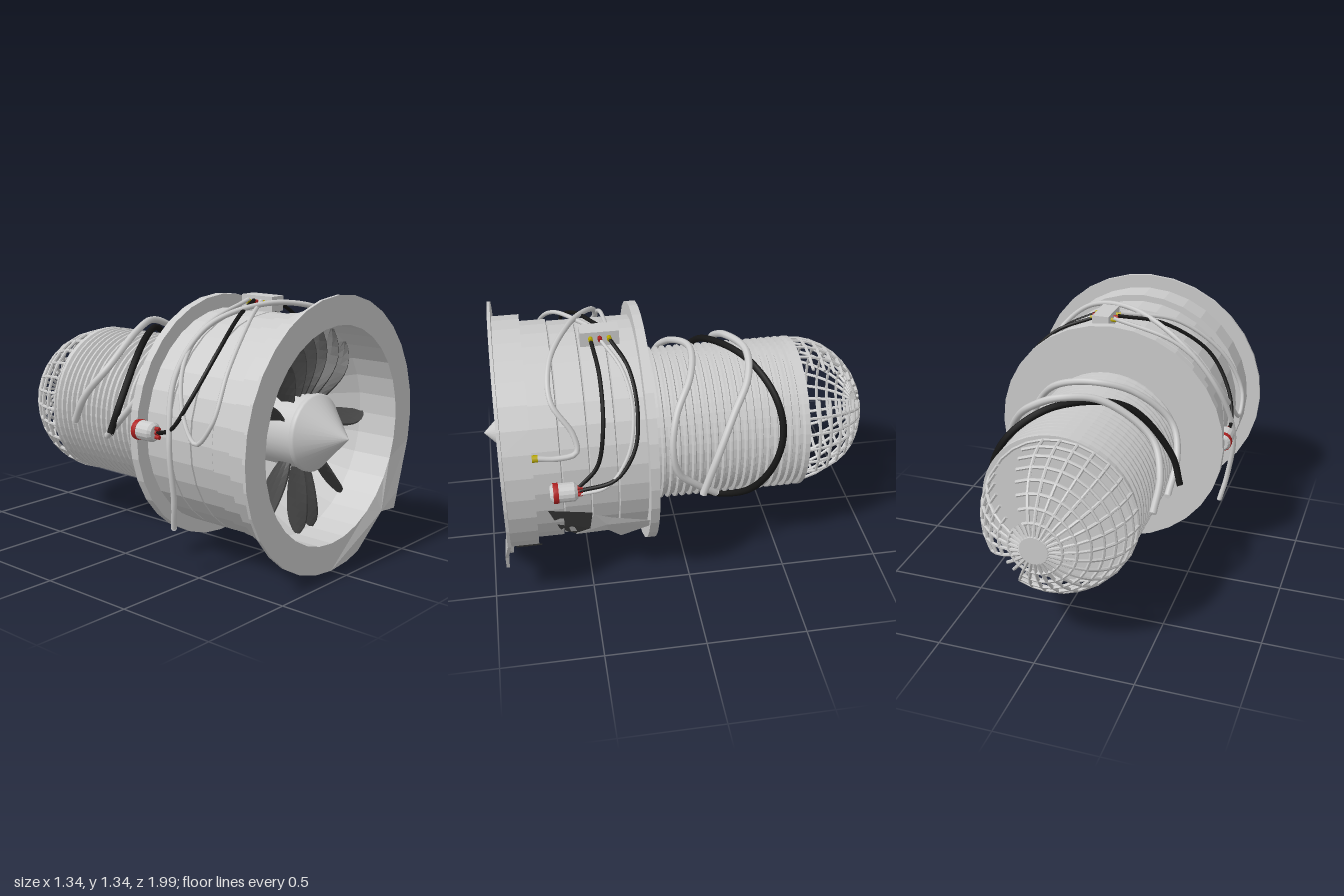
import * as THREE from 'three';
import { mergeGeometries } from 'three/addons/utils/BufferGeometryUtils.js';

const material = (color, flat = false) =>
  new THREE.MeshStandardMaterial({ color, flatShading: flat, side: THREE.DoubleSide });
const GREY = material(0xcccccc, true), SMOOTH = material(0xcccccc);
const BLACK = material(0x151515), DARK = material(0x444444, true);
const RED = material(0xb02020), YELLOW = material(0xb8a800);

function add(parent, name, geometry, mat, x = 0, y = 0, z = 0) {
  const mesh = new THREE.Mesh(geometry, mat);
  mesh.name = name;
  mesh.position.set(x, y, z);
  parent.add(mesh);
  return mesh;
}

// Point around the engine axis: angle in degrees from +x towards +y
function polar([deg, r, z]) {
  const a = THREE.MathUtils.degToRad(deg);
  return new THREE.Vector3(r * Math.cos(a), r * Math.sin(a), z);
}

// Turned part around the z axis from [radius, z] pairs
const turned = (profile, sides) =>
  new THREE.LatheGeometry(profile.map(([r, z]) => new THREE.Vector2(r, z)), sides).rotateX(Math.PI / 2);

function hose(parent, name, points, radius, mat) {
  const curve = new THREE.CatmullRomCurve3(points.map(polar));
  add(parent, name, new THREE.TubeGeometry(curve, points.length * 8, radius, 8), mat);
  for (const end of [0, 1]) {
    const p = curve.getPoint(end);
    const cap = add(parent, name + 'End', new THREE.CircleGeometry(radius, 8), mat, p.x, p.y, p.z);
    cap.lookAt(p.clone().add(curve.getTangent(end)));
  }
}

// Front ring with a crumpled corner at the lower left
function frontFlange() {
  const dent = { 25: [], 29: [[0.545, -0.385]], 28: [[0.52, -0.47], [0.4, -0.46]],
    27: [[0.32, -0.545]], 26: [[0.225, -0.63]] };
  delete dent[25];
  const outline = [];
  for (let i = 0; i < 32; i++) {
    const a = (i / 32) * Math.PI * 2;
    const points = dent[i] ? dent[i].slice().reverse() : [[0.67 * Math.cos(a), 0.67 * Math.sin(a)]];
    outline.push(...points.map(([x, y]) => new THREE.Vector2(x, y)));
  }
  const shape = new THREE.Shape(outline);
  shape.holes.push(new THREE.Path().absarc(0, 0, 0.53, 0, Math.PI * 2, true));
  const geometry = new THREE.ExtrudeGeometry(shape, { depth: 0.016, bevelEnabled: false, curveSegments: 16 });
  const p = geometry.attributes.position;
  for (let i = 0; i < p.count; i++) {
    const x = p.getX(i), y = p.getY(i);
    if (Math.hypot(x, y) > 0.55 && x > 0.35 && y < -0.35) p.setZ(i, p.getZ(i) + 0.02);
  }
  return geometry;
}

// Curved, twisted blade: thin in x, radial along y, chord along z
function bladeGeometry() {
  const geometry = new THREE.BoxGeometry(1, 1, 1, 1, 8, 4);
  const p = geometry.attributes.position;
  for (let i = 0; i < p.count; i++) {
    const t = p.getY(i) + 0.5, s = p.getZ(i);
    const chord = 0.07 + 0.1 * Math.sin(Math.PI * Math.min(1, t * 0.9)) - 0.06 * t ** 6;
    const twist = 0.08 + 0.24 * Math.sin(Math.PI * t);
    const x = p.getX(i) * 0.012 * (1 - 0.6 * t) + 0.02 * (0.25 - s * s);
    const z = s * chord;
    p.setXYZ(i, x * Math.cos(twist) + z * Math.sin(twist), 0.18 + t * 0.345,
      z * Math.cos(twist) - x * Math.sin(twist));
  }
  return geometry;
}

// Domed grille, with the bars of two broken patches left out
function cageGeometry() {
  const bars = [], columns = 28, rows = 8, up = new THREE.Vector3(0, 1, 0);
  const broken = (deg, lat) => (deg > 33 && deg < 70 && lat < 72 && lat > 3) ||
    (deg > 297 && deg < 331 && lat < 62);
  const at = (deg, lat) => {
    const b = THREE.MathUtils.degToRad(lat);
    return polar([deg, 0.385 * Math.cos(b), -0.365 * Math.sin(b)]);
  };
  function bar(d1, l1, d2, l2) {
    if (broken((d1 + d2) / 2, (l1 + l2) / 2)) return;
    const a = at(d1, l1), b = at(d2, l2), way = b.clone().sub(a);
    const g = new THREE.CylinderGeometry(0.0085, 0.0085, way.length() + 0.006, 6);
    g.applyQuaternion(new THREE.Quaternion().setFromUnitVectors(up, way.normalize()));
    bars.push(g.translate(...a.add(b).multiplyScalar(0.5).toArray()));
  }
  const dDeg = 360 / columns, dLat = 80 / rows;
  for (let i = 0; i < columns; i++) {
    for (let j = 0; j <= rows; j++) {
      bar(i * dDeg, j * dLat, (i + 1) * dDeg, j * dLat);
      if (j < rows) bar(i * dDeg, j * dLat, i * dDeg, (j + 1) * dLat);
    }
  }
  return mergeGeometries(bars);
}

// Bent sheet fan from [angle, radius, z] corners; the first corner is the hub
function shard(corners) {
  const pts = corners.map(polar), out = [];
  for (let i = 1; i < pts.length - 1; i++) out.push(pts[0], pts[i], pts[i + 1]);
  const geometry = new THREE.BufferGeometry().setFromPoints(out);
  geometry.computeVertexNormals();
  return geometry;
}

// Small canister with red bands and three plugs on its -z end
function canister(parent, name, deg, z, turn) {
  const group = new THREE.Group();
  group.name = name;
  group.position.copy(polar([deg, 0.605, z]));
  group.rotation.y = turn;
  parent.add(group);
  add(group, 'canisterBody', turned([[0, -0.06], [0.035, -0.06], [0.047, -0.045], [0.047, 0.055],
    [0.035, 0.07], [0.025, 0.07], [0.025, 0.05], [0, 0.05]], 16), GREY);
  add(group, 'canisterBand', turned([[0.047, 0.03], [0.05, 0.03], [0.05, 0.055], [0.047, 0.055]], 16), RED);
  for (const y of [-0.02, 0, 0.02])
    add(group, 'canisterPlug', new THREE.CylinderGeometry(0.01, 0.01, 0.03, 8).rotateX(Math.PI / 2), RED, 0, y, -0.07);
}

export function createModel() {
  const model = new THREE.Group();
  const front = new THREE.Group(), rear = new THREE.Group();
  front.name = 'fanSection';
  rear.name = 'rearSection';
  front.position.y = 0.675;
  rear.position.y = 0.645;
  model.add(front, rear);

  // Casing, intake and spinner
  const casing = [[0, 0.165], [0.62, 0.165], [0.62, 0.21], [0.55, 0.21]];
  for (const z of [0.355, 0.49]) casing.push([0.55, z - 0.005], [0.535, z], [0.55, z + 0.005]);
  casing.push([0.55, 0.62], [0.535, 0.625], [0.56, 0.63], [0.56, 0.76], [0.595, 0.76], [0.595, 0.9]);
  add(front, 'casing', turned(casing, 32), GREY);
  add(front, 'frontFlange', frontFlange(), GREY, 0, 0, 0.896);
  add(front, 'intake', turned([[0.53, 0.9], [0.53, 0.7], [0.37, 0.4], [0.17, 0.25]], 32), GREY);
  add(front, 'spinner', turned([[0.18, 0.24], [0.18, 0.78], [0.19, 0.78], [0.19, 0.8], [0.182, 0.805], [0, 0.99]], 32), SMOOTH);

  // Remaining fan blades
  const blade = bladeGeometry();
  for (const deg of [155, 121, 104, 91, 78, 63, 48, 1, -48, -78, -90, -127])
    add(front, 'fanBlade', blade, DARK, 0, 0, 0.7).rotation.z = THREE.MathUtils.degToRad(deg - 90);

  // Access plate and torn casing sheets
  const plate = new THREE.CylinderGeometry(0.6, 0.6, 0.13, 4, 1, true, 0.56, 0.3).rotateX(Math.PI / 2);
  add(front, 'accessPlate', plate, DARK, 0, 0, 0.81);
  add(front, 'tornSheetFront', shard([[-28, 0.556, 0.6], [-10, 0.575, 0.705], [-16, 0.565, 0.49],
    [-35, 0.562, 0.5], [-53, 0.56, 0.57], [-31, 0.562, 0.65], [-10, 0.575, 0.705]]), DARK);
  add(front, 'tornSheetRear', shard([[-27, 0.58, 0.42], [-18, 0.565, 0.48], [-21, 0.575, 0.39],
    [-23, 0.6, 0.2], [-27, 0.6, 0.18], [-42, 0.6, 0.345], [-35, 0.58, 0.41], [-53, 0.565, 0.57], [-18, 0.565, 0.48]]), GREY);

  // Junction box with plugs on both sides
  add(front, 'junctionBox', new THREE.BoxGeometry(0.09, 0.075, 0.19), GREY, 0.1, 0.583, 0.385);
  for (const x of [0.045, 0.155])
    [0.34, 0.385, 0.43].forEach((z, i) => add(front, 'boxPlug',
      new THREE.CylinderGeometry(0.011, 0.011, 0.035, 8).rotateZ(Math.PI / 2), i === 1 ? RED : YELLOW, x, 0.59, z));

  // Canisters and the cables that feed them
  canister(front, 'leftCanister', 3, 0.62, 0);
  canister(front, 'rightCanister', 177, 0.26, Math.PI);
  hose(front, 'leftCableOuter', [[75, 0.61, 0.34], [57, 0.62, 0.27], [38, 0.61, 0.25], [20, 0.61, 0.28],
    [7, 0.61, 0.38], [3, 0.605, 0.55]], 0.01, BLACK);
  hose(front, 'leftCableMiddle', [[75, 0.61, 0.385], [57, 0.61, 0.3], [38, 0.6, 0.27], [18, 0.6, 0.31],
    [4, 0.61, 0.42], [1, 0.605, 0.55]], 0.009, SMOOTH);
  hose(front, 'leftCableInner', [[75, 0.61, 0.43], [55, 0.6, 0.41], [30, 0.6, 0.42], [14, 0.6, 0.46],
    [5, 0.605, 0.55]], 0.01, BLACK);
  hose(front, 'rightCable', [[87, 0.6, 0.385], [110, 0.585, 0.48], [138, 0.59, 0.54], [160, 0.6, 0.5],
    [174, 0.61, 0.42], [177, 0.605, 0.33]], 0.01, BLACK);

  // Loose hoses over the casing
  hose(front, 'casingLoopHose', [[86, 0.6, 0.34], [120, 0.58, 0.35], [145, 0.585, 0.38], [168, 0.6, 0.48],
    [178, 0.615, 0.58], [168, 0.62, 0.67], [145, 0.6, 0.66], [115, 0.59, 0.58], [87, 0.6, 0.43]], 0.011, SMOOTH);
  hose(front, 'casingLongHose', [[217, 0.71, 0.4], [205, 0.66, 0.43], [180, 0.62, 0.42], [150, 0.59, 0.36],
    [120, 0.59, 0.38], [90, 0.6, 0.52], [64, 0.61, 0.64], [45, 0.6, 0.65], [30, 0.58, 0.56],
    [21, 0.575, 0.55], [19, 0.575, 0.64], [20, 0.575, 0.74]], 0.014, SMOOTH);
  const plug = polar([20, 0.575, 0.75]);
  add(front, 'hosePlug', new THREE.CylinderGeometry(0.018, 0.018, 0.035, 8).rotateX(Math.PI / 2), YELLOW, ...plug.toArray());

  // Ribbed barrel with a closed end
  const barrel = [[0, -0.635], [0.397, -0.635], [0.397, -0.61]];
  for (let i = 0; i < 20; i++) {
    const z = -0.6 + i * 0.038;
    barrel.push([0.382, z], [0.382, z + 0.014], [0.398, z + 0.02], [0.398, z + 0.03]);
  }
  barrel.push([0.385, 0.17]);
  add(rear, 'ribbedBarrel', turned(barrel, 48), GREY);

  // Domed rear grille
  const cage = new THREE.Group();
  cage.name = 'rearCage';
  cage.position.set(-0.015, -0.008, -0.632);
  rear.add(cage);
  add(cage, 'cageBars', cageGeometry(), GREY);
  add(cage, 'cageCap', new THREE.CylinderGeometry(0.07, 0.07, 0.012, 28).rotateX(Math.PI / 2), GREY, 0, 0, -0.362);

  // Hoses draped over the barrel
  hose(rear, 'barrelRearHose', [[185, 0.42, -0.45], [165, 0.44, -0.36], [143, 0.44, -0.26], [103, 0.45, -0.28],
    [78, 0.465, -0.35], [57, 0.455, -0.33], [35, 0.45, -0.24], [10, 0.46, -0.15], [-15, 0.5, -0.07]], 0.019, SMOOTH);
  hose(rear, 'barrelFrontHose', [[190, 0.43, -0.2], [170, 0.435, -0.05], [150, 0.43, 0.04], [117, 0.425, -0.01],
    [90, 0.44, -0.08], [63, 0.44, -0.05], [38, 0.43, 0.04], [15, 0.425, 0.07], [-5, 0.42, 0.04],
    [-18, 0.42, -0.05], [-31, 0.43, -0.16]], 0.018, SMOOTH);
  hose(rear, 'barrelBlackHose', [[185, 0.47, -0.13], [165, 0.43, -0.11], [118, 0.42, -0.17], [76, 0.425, -0.35],
    [45, 0.42, -0.46], [20, 0.415, -0.49], [-5, 0.415, -0.45], [-35, 0.415, -0.35], [-65, 0.415, -0.2],
    [-85, 0.41, -0.08]], 0.018, BLACK);
  return model;
}
